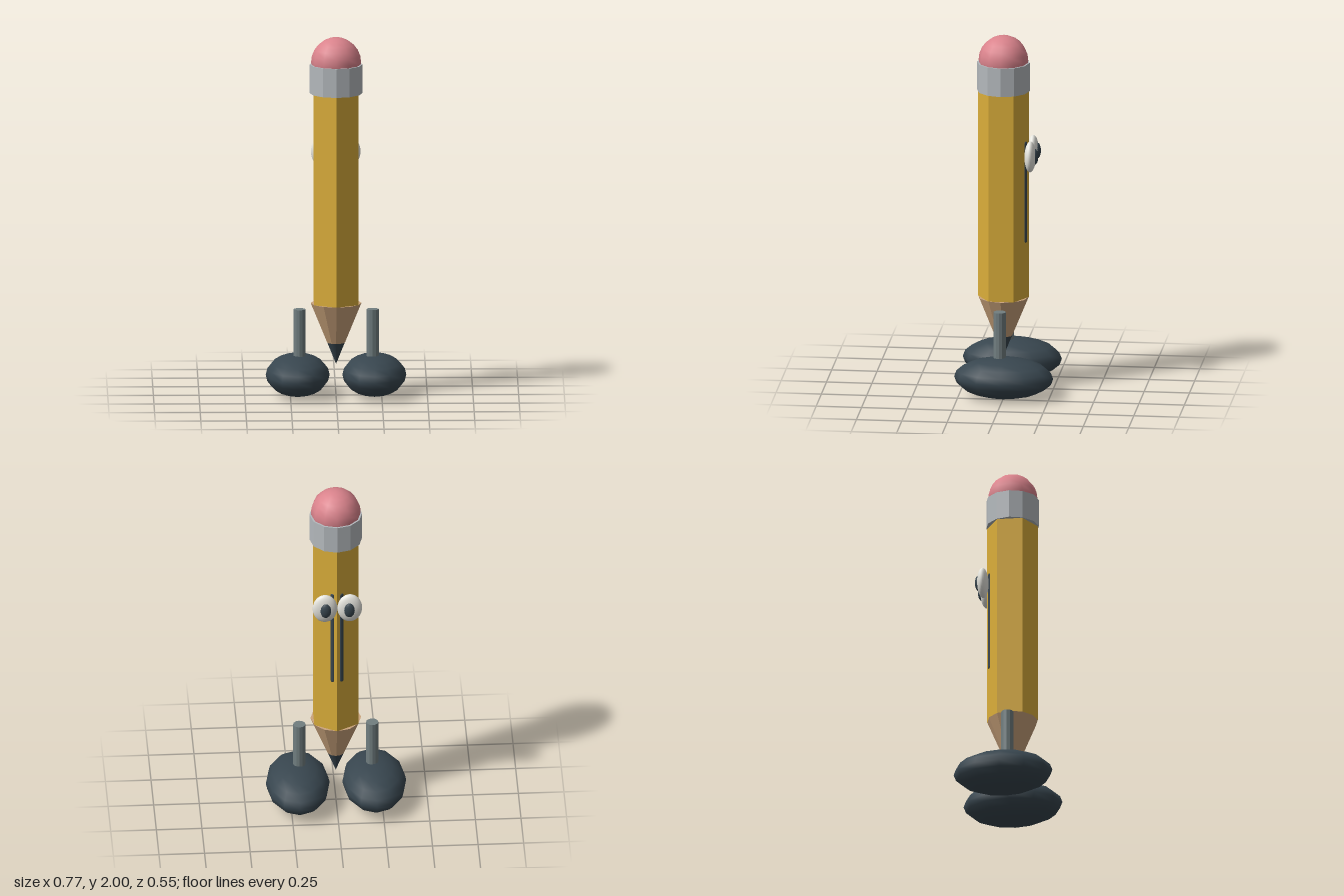
import * as THREE from 'three';

const paint = (name, color, flatShading = false) => {
  const m = new THREE.MeshStandardMaterial({ color, flatShading });
  m.name = name;
  return m;
};

export function createModel() {
  const yellow = paint('yellow paint', 0xdbae3a, true);
  const wood = paint('bare wood', 0xcba47c, true);
  const metal = paint('ferrule metal', 0xb4b9bd, true);
  const steel = paint('leg grey', 0x717e80, true);
  const dark = paint('dark slate', 0x38464f);
  const pink = paint('eraser pink', 0xda838c);
  const white = paint('eye white', 0xecebe4);

  const model = new THREE.Group();
  model.name = 'pencilFigure';
  const add = (parent, name, geometry, material, x, y, z) => {
    const mesh = new THREE.Mesh(geometry, material);
    mesh.name = name;
    mesh.position.set(x, y, z);
    parent.add(mesh);
    return mesh;
  };
  const ellipsoid = (rx, ry, rz, w, h) => new THREE.SphereGeometry(1, w, h).scale(rx, ry, rz);
  // Upright tapered prism between two heights
  const column = (rTop, rBottom, y0, y1, sides) =>
    new THREE.CylinderGeometry(rTop, rBottom, y1 - y0, sides).translate(0, (y0 + y1) / 2, 0);

  // Pencil, sitting slightly forward of the feet's centre
  const pencil = new THREE.Group();
  pencil.name = 'pencil';
  pencil.position.z = 0.025;
  model.add(pencil);
  add(pencil, 'hexagonalBody', column(0.14, 0.14, 0.52, 1.75, 6), yellow, 0, 0, 0);
  add(pencil, 'sharpenedWood', column(0.139, 0.049, 0.3, 0.52, 12), wood, 0, 0, 0);
  add(pencil, 'leadTip', column(0.049, 0, 0.18, 0.302, 12), dark, 0, 0, 0);
  add(pencil, 'ferrule', column(0.145, 0.145, 1.69, 1.85, 12), metal, 0, 0, 0);
  add(pencil, 'eraser', ellipsoid(0.137, 0.137, 0.137, 12, 12), pink, 0, 1.863, 0);

  for (const [side, s] of [['left', 1], ['right', -1]]) {
    // Leg and foot
    add(model, side + 'Leg', column(0.034, 0.034, 0.15, 0.485, 12), steel, s * 0.2, 0, 0.023);
    add(model, side + 'Foot', ellipsoid(0.175, 0.114, 0.273, 12, 10), dark, s * 0.21, 0.116, 0);

    // Eye and pupil on the back side
    add(model, side + 'Eye', ellipsoid(0.068, 0.086, 0.031, 24, 16), white, s * 0.068, 1.335, -0.13);
    add(model, side + 'Pupil', ellipsoid(0.03, 0.045, 0.02, 16, 12), dark, s * 0.065, 1.335, -0.154);

    // Thin painted stripe lying on the body facet
    const stripe = new THREE.CapsuleGeometry(0.011, 0.553, 4, 10).scale(1, 1, 0.4);
    add(model, side + 'Stripe', stripe, dark, s * 0.026, 1.122, -0.101).rotation.y = -s * Math.PI / 6;
  }
  return model;
}
